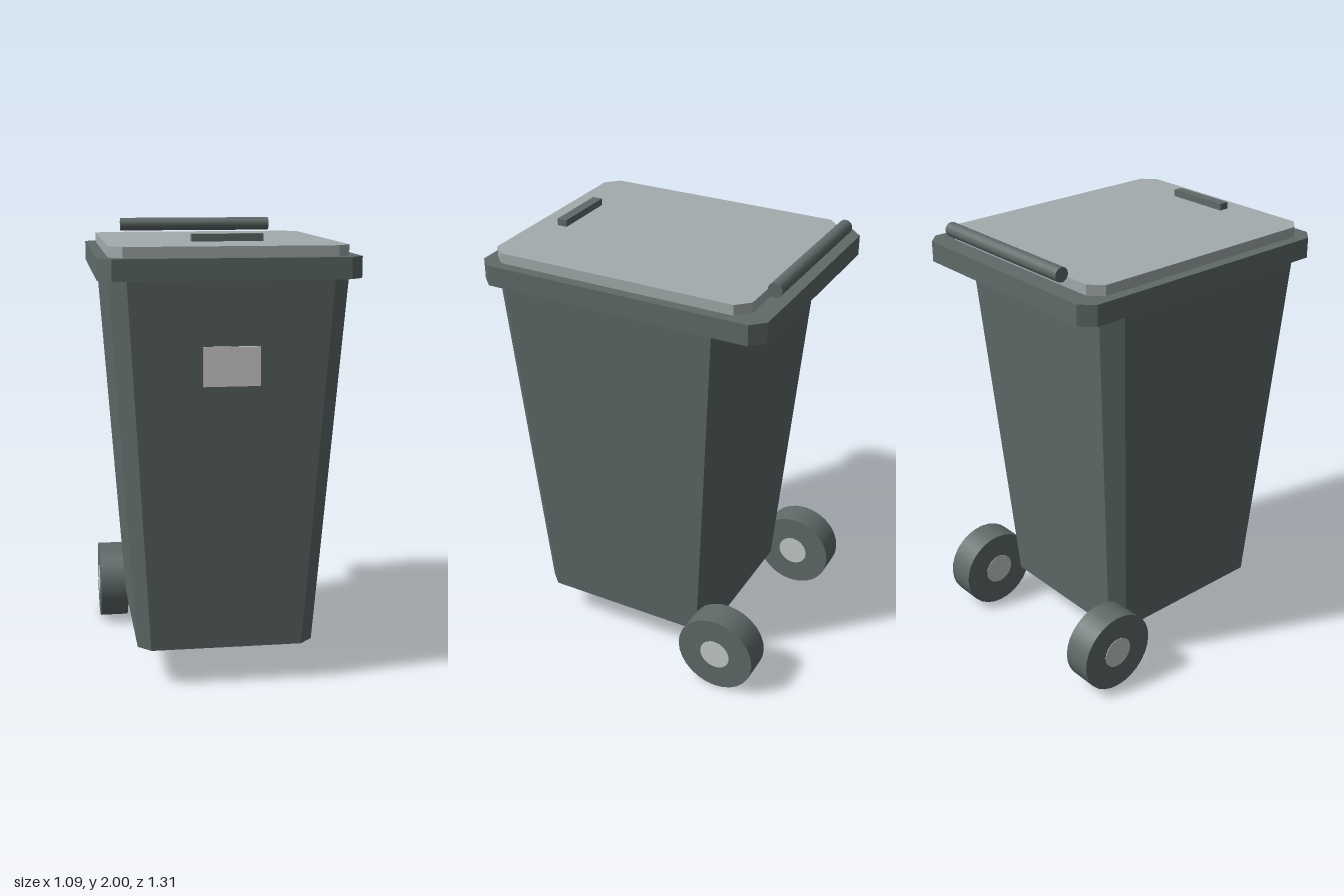
import * as THREE from 'three';

const mat = (color, flatShading = false) => new THREE.MeshStandardMaterial({ color, flatShading });

// Upright slab with cut corners; the bottom outline may be scaled down for a taper.
function chamferedSlab(halfX, halfZ, cut, height, bottomScale = 1) {
  const shape = new THREE.Shape([
    [halfX, -halfZ + cut], [halfX, halfZ - cut], [halfX - cut, halfZ], [-halfX + cut, halfZ],
    [-halfX, halfZ - cut], [-halfX, -halfZ + cut], [-halfX + cut, -halfZ], [halfX - cut, -halfZ],
  ].map(([x, y]) => new THREE.Vector2(x, y)));
  const geo = new THREE.ExtrudeGeometry(shape, { depth: height, bevelEnabled: false });
  geo.rotateX(-Math.PI / 2);
  const p = geo.attributes.position;
  for (let i = 0; i < p.count; i++) {
    const s = THREE.MathUtils.lerp(bottomScale, 1, p.getY(i) / height);
    p.setX(i, p.getX(i) * s);
    p.setZ(i, p.getZ(i) * s);
  }
  geo.computeVertexNormals();
  return geo;
}

// Cylinder lying along x
const axle = (radius, length, sides) =>
  new THREE.CylinderGeometry(radius, radius, length, sides).rotateZ(Math.PI / 2);

export function createModel() {
  const bin = new THREE.Group();
  bin.name = 'wheeledBin';
  const dark = mat(0x5f6b69, true);
  const darkSmooth = mat(0x5f6b69);
  const pale = mat(0xa3abac, true);
  const hubMat = mat(0xc4cccb);
  const labelMat = mat(0xd8d6d3, true);

  const add = (name, geo, material, x, y, z, parent = bin) => {
    const mesh = new THREE.Mesh(geo, material);
    mesh.name = name;
    mesh.position.set(x, y, z);
    parent.add(mesh);
    return mesh;
  };

  // Tapered container, overhanging rim and lid
  add('body', chamferedSlab(0.5, 0.56, 0.072, 1.625, 0.78), dark, 0, 0.175, 0.07);
  add('rim', chamferedSlab(0.545, 0.655, 0.056, 0.09), dark, 0, 1.8, 0.003);
  add('lid', chamferedSlab(0.497, 0.592, 0.055, 0.045), pale, 0, 1.89, 0.027);

  // Handles and front label
  add('lidGrip', new THREE.BoxGeometry(0.298, 0.03, 0.045), dark, 0, 1.963, 0.482);
  add('rearHandle', axle(0.031, 0.74, 20), darkSmooth, 0, 1.969, -0.625);
  add('label', new THREE.BoxGeometry(0.236, 0.165, 0.01), labelMat, 0, 1.448, 0.637);

  // Wheels with hubs showing on both faces
  for (const [side, name] of [[1, 'leftWheel'], [-1, 'rightWheel']]) {
    const wheel = new THREE.Group();
    wheel.name = name;
    wheel.position.set(side * 0.446, 0.187, -0.468);
    add('tyre', axle(0.184, 0.134, 28), darkSmooth, 0, 0, 0, wheel);
    add('hub', axle(0.072, 0.138, 20), hubMat, 0, 0, 0, wheel);
    bin.add(wheel);
  }
  return bin;
}
